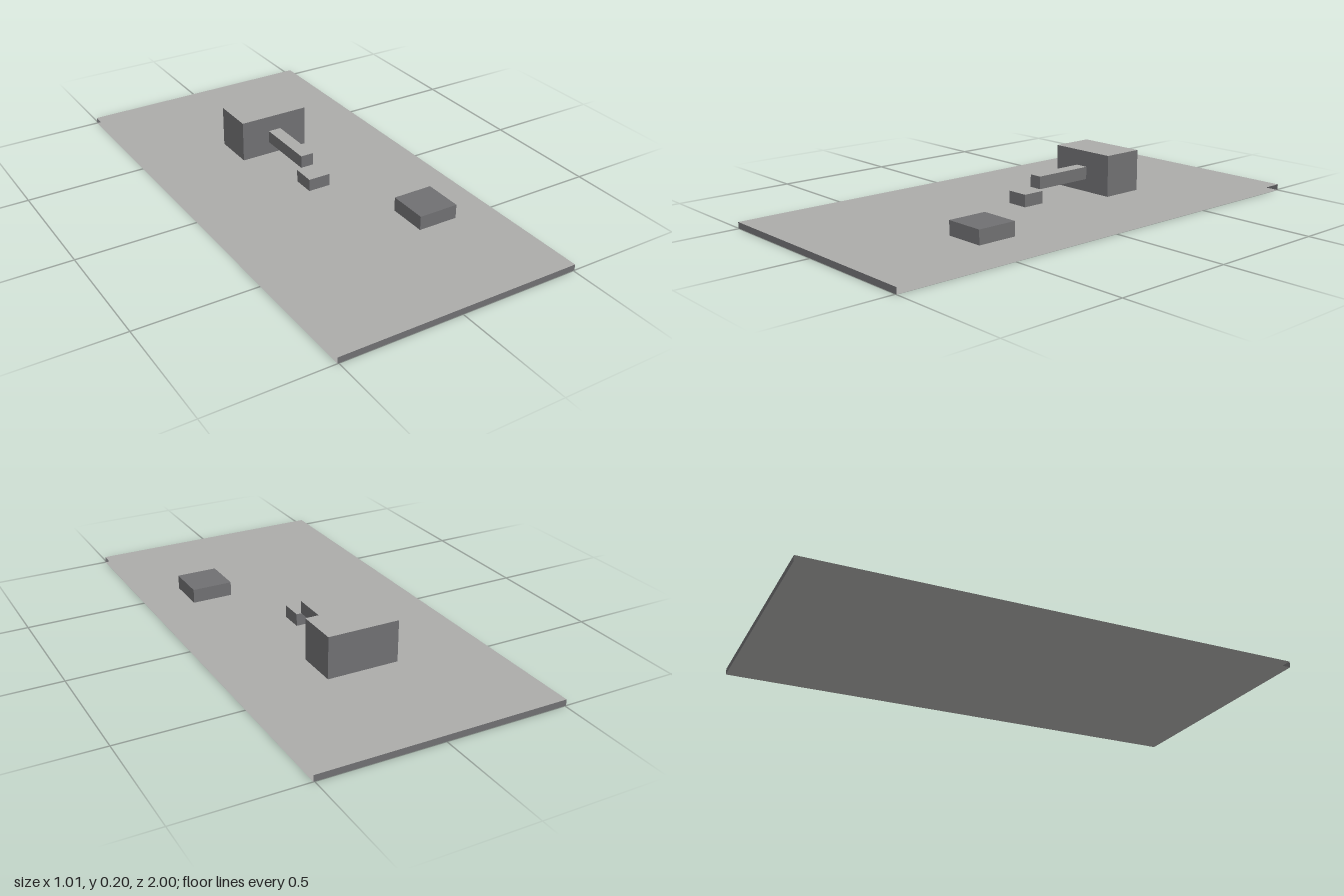
import * as THREE from 'three';

export function createModel() {
  const model = new THREE.Group();
  const light = new THREE.MeshStandardMaterial({ color: 0xacacaa, side: THREE.DoubleSide });
  light.name = 'light grey';
  const dark = new THREE.MeshStandardMaterial({ color: 0x707072, side: THREE.DoubleSide });
  dark.name = 'dark grey';

  // Faces in order +x, -x, +y, -y, +z, -z: dark walls, light top and underside
  const capped = [dark, dark, light, light, dark, dark];

  // A block given by its limits on each axis
  function block(name, [x0, x1], [y0, y1], [z0, z1], material) {
    const geometry = new THREE.BoxGeometry(x1 - x0, y1 - y0, z1 - z0);
    const mesh = new THREE.Mesh(geometry, material);
    mesh.name = name;
    mesh.position.set((x0 + x1) / 2, (y0 + y1) / 2, (z0 + z1) / 2);
    model.add(mesh);
    return mesh;
  }

  // Ground slab, a shell left open along its two long sides
  const slab = block('groundSlab', [-0.505, 0.505], [0, 0.025], [-1, 1], capped);
  const shell = slab.geometry;
  shell.setIndex(Array.from(shell.index.array).slice(12));
  shell.clearGroups();
  for (let face = 2; face < 6; face++) shell.addGroup((face - 2) * 6, 6, face);

  // Main building, raised walkway and the small block it leads to
  block('mainBuilding', [-0.132, 0.165], [0.025, 0.196], [-0.48, -0.304], capped);
  block('raisedWalkway', [-0.011, 0.044], [0.079, 0.131], [-0.302, -0.04], capped);
  block('smallBlock', [-0.032, 0.062], [0.025, 0.076], [-0.037, 0.057], capped);

  // Detached dark outbuilding
  block('outbuilding', [0.17, 0.338], [0.025, 0.083], [0.356, 0.523], dark);

  return model;
}
